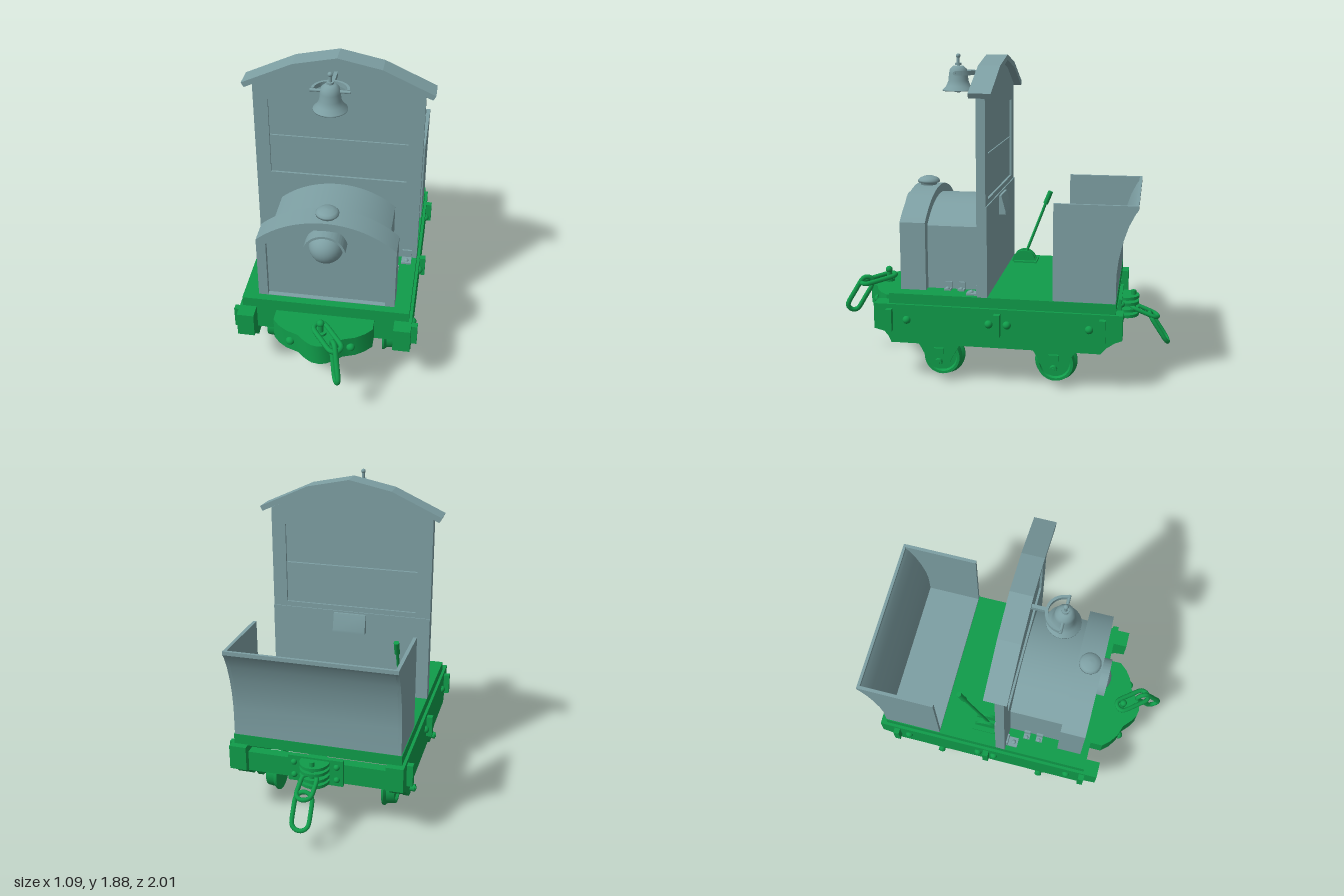
import * as THREE from 'three';
import { toCreasedNormals } from 'three/addons/utils/BufferGeometryUtils.js';

export function createModel() {
  const model = new THREE.Group();
  const grey = new THREE.MeshStandardMaterial({ color: 0x7d9fa3, side: THREE.DoubleSide });
  const green = new THREE.MeshStandardMaterial({ color: 0x109c4a, side: THREE.DoubleSide });
  const V = (x, y, z) => new THREE.Vector3(x, y, z);

  const add = (name, geo, mat, x = 0, y = 0, z = 0) => {
    const m = new THREE.Mesh(geo, mat);
    m.name = name;
    m.position.set(x, y, z);
    model.add(m);
    return m;
  };
  // box from its min and max corners
  const box = (name, mat, x0, x1, y0, y1, z0, z1) =>
    add(name, new THREE.BoxGeometry(x1 - x0, y1 - y0, z1 - z0), mat, (x0 + x1) / 2, (y0 + y1) / 2, (z0 + z1) / 2);
  const poly = pts => new THREE.Shape(pts.map(p => new THREE.Vector2(...p)));
  const extrude = (shape, depth) =>
    toCreasedNormals(new THREE.ExtrudeGeometry(shape, { depth, bevelEnabled: false, curveSegments: 20 }), 0.5);
  // profile drawn as (z, y), thickness along x and centred
  const sideways = (shape, depth) => extrude(shape, depth).rotateY(-Math.PI / 2).translate(depth / 2, 0, 0);
  const cyl = (name, mat, r, len, axis, x, y, z) => {
    const g = new THREE.CylinderGeometry(r, r, len, 20);
    if (axis === 'x') g.rotateZ(Math.PI / 2);
    if (axis === 'z') g.rotateX(Math.PI / 2);
    return add(name, g, mat, x, y, z);
  };
  const rod = (name, mat, a, b, r) => {
    const m = cyl(name, mat, r, a.distanceTo(b), 'y', 0, 0, 0);
    m.position.copy(a).lerp(b, 0.5);
    m.quaternion.setFromUnitVectors(V(0, 1, 0), b.clone().sub(a).normalize());
    return m;
  };
  // domed bolt head facing an axis direction
  const bolt = (name, mat, dir, r, x, y, z) => {
    const m = add(name, new THREE.SphereGeometry(r, 14, 7, 0, Math.PI * 2, 0, Math.PI / 2), mat, x, y, z);
    m.quaternion.setFromUnitVectors(V(0, 1, 0), dir);
    return m;
  };
  // oval chain link from a to b, spread sideways along w
  const link = (name, a, b, w, half, r = 0.015) => {
    const d = b.clone().sub(a).normalize();
    const side = w.clone().addScaledVector(d, -w.dot(d)).normalize();
    const pts = [];
    for (let i = 0; i < 16; i++) {
      const t = (i / 16) * Math.PI * 2, c = Math.cos(t);
      const end = c > 0.01 ? b.clone().addScaledVector(d, -half) : c < -0.01 ? a.clone().addScaledVector(d, half) : a.clone().lerp(b, 0.5);
      pts.push(end.addScaledVector(d, c * half).addScaledVector(side, Math.sin(t) * half));
    }
    add(name, new THREE.TubeGeometry(new THREE.CatmullRomCurve3(pts, true), 48, r, 8, true), green);
  };
  // upright outline closed by a shallow arch
  const arch = (Type, w, y0, ys, yt) => {
    const h = yt - ys, R = (w * w + h * h) / (2 * h), a = Math.asin(w / R);
    const s = new Type();
    s.moveTo(-w, y0);
    s.lineTo(w, y0);
    s.lineTo(w, ys);
    s.absarc(0, yt - R, R, Math.PI / 2 - a, Math.PI / 2 + a, false);
    s.lineTo(-w, y0);
    return s;
  };

  // --- chassis ---
  box('deck', green, -0.49, 0.49, 0.47, 0.535, -0.69, 0.612);
  const beam = poly([[-0.73, 0.475], [-0.73, 0.33], [-0.69, 0.315], [-0.64, 0.28], [-0.61, 0.245], [0.6, 0.245],
    [0.615, 0.28], [0.64, 0.31], [0.7, 0.325], [0.7, 0.475]]);
  const hanger = poly([[-0.13, 0.25], [-0.1, 0.2], [-0.06, 0.12], [-0.04, 0.095], [0, 0.085], [0.04, 0.095],
    [0.06, 0.12], [0.1, 0.2], [0.13, 0.25]]);
  const wheelProfile = [[0.016, 0], [0.125, 0], [0.125, 0.012], [0.11, 0.026], [0.105, 0.075], [0.09, 0.075],
    [0.082, 0.06], [0.04, 0.06], [0.036, 0.08], [0.016, 0.08]].map(p => new THREE.Vector2(...p));
  const axles = [0.325, -0.345];
  for (const s of [1, -1]) {
    add('sideBeam', sideways(beam, 0.1), green, s * 0.457);
    for (const z of [0.605, -0.025, -0.62]) box('strap', green, s * 0.52 - 0.022, s * 0.52 + 0.022, 0.32, 0.45, z - 0.018, z + 0.018);
    for (const z of [0.505, 0.025, -0.08, -0.545]) bolt('sideBolt', green, V(s, 0, 0), 0.024, s * 0.506, 0.385, z);
    for (const z of axles) {
      add('axleHanger', sideways(hanger, 0.035), green, s * 0.457, 0, z);
      box('axleBoxCap', green, s * 0.475 - 0.015, s * 0.475 + 0.015, 0.18, 0.215, z - 0.028, z + 0.028);
      cyl('axleNut', green, 0.022, 0.03, 'x', s * 0.49, 0.13, z);
      const wheel = toCreasedNormals(new THREE.LatheGeometry(wheelProfile, 32), 0.5);
      add('wheel', wheel.rotateZ(-s * Math.PI / 2), green, s * 0.325, 0.13, z);
    }
  }
  for (const z of axles) {
    cyl('axle', green, 0.012, 1.02, 'x', 0, 0.13, z);
    cyl('axleSleeve', green, 0.018, 0.34, 'x', 0, 0.13, z);
  }
  box('frontCrossBeam', green, -0.41, 0.41, 0.32, 0.472, 0.55, 0.61);
  box('rearCrossBeam', green, -0.41, 0.41, 0.31, 0.43, -0.69, -0.63);

  // --- front buffer and its chain ---
  const half = [[0.29, 0.6], [0.29, 0.69], [0.25, 0.735], [0.2, 0.77], [0.13, 0.795], [0.08, 0.84], [0.04, 0.865]];
  const bufferShape = poly([...half, [0, 0.872], ...half.slice().reverse().map(([x, z]) => [-x, z])]);
  add('frontBuffer', extrude(bufferShape, 0.135).rotateX(Math.PI / 2), green, 0, 0.46, 0);
  box('bufferPlate', green, -0.15, 0.15, 0.305, 0.326, 0.6, 0.76);
  for (const s of [1, -1]) bolt('bufferBolt', green, V(0, 0, 1), 0.026, s * 0.175, 0.395, 0.778);
  cyl('frontPin', green, 0.016, 0.08, 'y', 0, 0.495, 0.76);
  cyl('frontPinCollar', green, 0.035, 0.015, 'y', 0, 0.468, 0.76);
  add('frontPinKnob', new THREE.SphereGeometry(0.022, 14, 10), green, 0, 0.533, 0.76);
  link('frontChainLink', V(-0.025, 0.5, 0.73), V(0.12, 0.47, 0.9), V(1, 0, -1), 0.04);
  link('frontChainLink', V(0.085, 0.5, 0.86), V(0.125, 0.3, 0.975), V(0.5, 0.3, 1), 0.038);

  // --- rear coupler and its chain ---
  box('couplerPlate', green, -0.16, 0.16, 0.3, 0.46, -0.71, -0.69);
  for (const s of [1, -1]) for (const y of [0.34, 0.42]) bolt('couplerBolt', green, V(0, 0, -1), 0.018, s * 0.125, y, -0.71);
  for (const y of [0.33, 0.365, 0.405, 0.44]) cyl('couplerFin', green, 0.085, 0.018, 'y', 0, y, -0.725);
  cyl('couplerPin', green, 0.016, 0.17, 'y', 0, 0.39, -0.775);
  link('rearChainLink', V(0.01, 0.385, -0.76), V(0.01, 0.32, -0.925), V(1, 0, 0), 0.045, 0.013);
  link('rearChainLink', V(0.01, 0.34, -0.875), V(0.01, 0.165, -0.99), V(1, 0, 0), 0.05, 0.013);

  // --- engine hood ---
  add('hoodBody', extrude(arch(THREE.Shape, 0.345, 0.535, 0.91, 1.04), 0.445), grey, 0, 0, 0.09);
  const rim = arch(THREE.Shape, 0.4, 0.535, 0.935, 1.09);
  rim.holes.push(arch(THREE.Path, 0.345, 0.537, 0.91, 1.04));
  add('hoodFrontFrame', extrude(rim, 0.15), grey, 0, 0, 0.415);
  const cap = [[0, 0.055], [0.03, 0.053], [0.055, 0.042], [0.066, 0.03], [0.066, 0.018], [0.05, 0.015], [0.05, -0.01]];
  add('fillerCap', new THREE.LatheGeometry(cap.map(p => new THREE.Vector2(...p)).reverse(), 28), grey, 0, 1.087, 0.49);
  add('headlamp', new THREE.SphereGeometry(0.1, 28, 18), grey, 0, 0.915, 0.535);
  const visor = new THREE.Shape();
  visor.absarc(0, 0, 0.122, 0.2, Math.PI - 0.2, false);
  visor.absarc(0, 0, 0.108, Math.PI - 0.2, 0.2, true);
  add('lampVisor', extrude(visor, 0.085), grey, 0, 0.915, 0.53);
  for (const s of [1, -1]) {
    for (const z of [0.21, 0.29]) {
      box('hoodBracketFoot', grey, s * 0.365 - 0.025, s * 0.365 + 0.025, 0.535, 0.545, z - 0.02, z + 0.02);
      box('hoodBracketTab', grey, s * 0.35 - 0.008, s * 0.35 + 0.008, 0.535, 0.58, z - 0.02, z + 0.02);
      bolt('hoodBracketBolt', grey, V(0, 1, 0), 0.012, s * 0.38, 0.545, z);
    }
    box('panelBracketFoot', grey, s * 0.43 - 0.03, s * 0.43 + 0.03, 0.535, 0.546, 0.095, 0.165);
    box('panelBracketTab', grey, s * 0.43 - 0.03, s * 0.43 + 0.03, 0.535, 0.595, 0.095, 0.106);
    bolt('panelBracketBolt', grey, V(0, 1, 0), 0.014, s * 0.43, 0.546, 0.14);
  }

  // --- cab panel, shutters and roof ---
  const panel = poly([[-0.49, 0.535], [0.49, 0.535], [0.49, 1.675], [0.25, 1.79], [0, 1.845], [-0.25, 1.79], [-0.49, 1.675]]);
  panel.holes.push(poly([[-0.405, 1.09], [-0.405, 1.58], [0.405, 1.58], [0.405, 1.09]]));
  add('cabPanel', extrude(panel, 0.052), grey, 0, 0, 0.043);
  box('lowerCabPanel', grey, -0.49, 0.49, 0.535, 1.06, 0.036, 0.045);
  box('lowerShutter', grey, -0.405, 0.405, 1.09, 1.338, 0.056, 0.082);
  box('upperShutter', grey, -0.405, 0.405, 1.344, 1.58, 0.056, 0.082);
  const roof = poly([[0.53, 1.662], [0.545, 1.69], [0.25, 1.825], [0, 1.877], [-0.25, 1.825], [-0.545, 1.69], [-0.53, 1.662],
    [-0.245, 1.793], [0, 1.845], [0.245, 1.793]]);
  add('roof', toCreasedNormals(extrude(roof, 0.127), 0.1), grey);
  const gauge = poly([[0.04, 1.05], [0.022, 1.05], [-0.005, 0.95], [-0.005, 0.935], [0.04, 0.935]]);
  add('gaugeBox', sideways(gauge, 0.2), grey);

  // --- bell on its bracket ---
  const bell = [[0, 0.15], [0.03, 0.147], [0.05, 0.13], [0.056, 0.1], [0.06, 0.06], [0.072, 0.03], [0.095, 0.006], [0.095, 0],
    [0.085, 0], [0.062, 0.035], [0.05, 0.07], [0.044, 0.12], [0, 0.138]];
  add('bell', new THREE.LatheGeometry(bell.map(p => new THREE.Vector2(...p)).reverse(), 32), grey, -0.01, 1.662, 0.3);
  cyl('bellStem', grey, 0.009, 0.07, 'y', -0.01, 1.84, 0.3);
  add('bellFinial', new THREE.SphereGeometry(0.014, 12, 8), grey, -0.01, 1.868, 0.3);
  cyl('bellCollar', grey, 0.02, 0.012, 'y', -0.01, 1.82, 0.3);
  add('bellClapper', new THREE.SphereGeometry(0.018, 12, 8), grey, -0.01, 1.667, 0.3);
  box('bellArm', grey, -0.02, 0, 1.757, 1.783, 0.09, 0.205);
  const yoke = new THREE.Shape();
  yoke.absarc(0, 0, 0.105, 0, Math.PI, false);
  yoke.absarc(0, 0, 0.09, Math.PI, 0, true);
  add('bellYoke', extrude(yoke, 0.026).rotateX(-Math.PI / 2), grey, -0.01, 1.757, 0.3);
  cyl('bellAxle', grey, 0.009, 0.22, 'x', -0.01, 1.77, 0.3);

  // --- brake lever ---
  const quadrant = new THREE.Shape();
  quadrant.absarc(0, 0, 0.075, 0, Math.PI, false);
  for (const x of [-0.37, -0.32]) add('leverQuadrant', sideways(quadrant, 0.018), green, x, 0.535, -0.055);
  box('leverBase', green, -0.41, -0.285, 0.535, 0.545, -0.14, 0.005);
  rod('lever', green, V(-0.345, 0.55, -0.05), V(-0.345, 0.96, -0.205), 0.009);
  rod('leverGrip', green, V(-0.345, 0.92, -0.19), V(-0.345, 1.0, -0.222), 0.016);

  // --- open bin with a flared back ---
  const curve = [[-0.688, 0.535], [-0.688, 0.7], [-0.698, 0.79], [-0.72, 0.89], [-0.75, 0.98], [-0.785, 1.05], [-0.8, 1.07], [-0.8, 1.092]];
  const cheek = poly([[-0.335, 0.535], ...curve, [-0.335, 1.092]]);
  for (const s of [1, -1]) add('binSide', sideways(cheek, 0.02), grey, s * 0.475);
  const back = poly([...curve, ...curve.slice().reverse().map(([z, y]) => [z + 0.017, y])]);
  add('binBack', sideways(back, 0.95), grey);
  box('binFloor', grey, -0.475, 0.475, 0.535, 0.548, -0.688, -0.335);

  return model;
}
